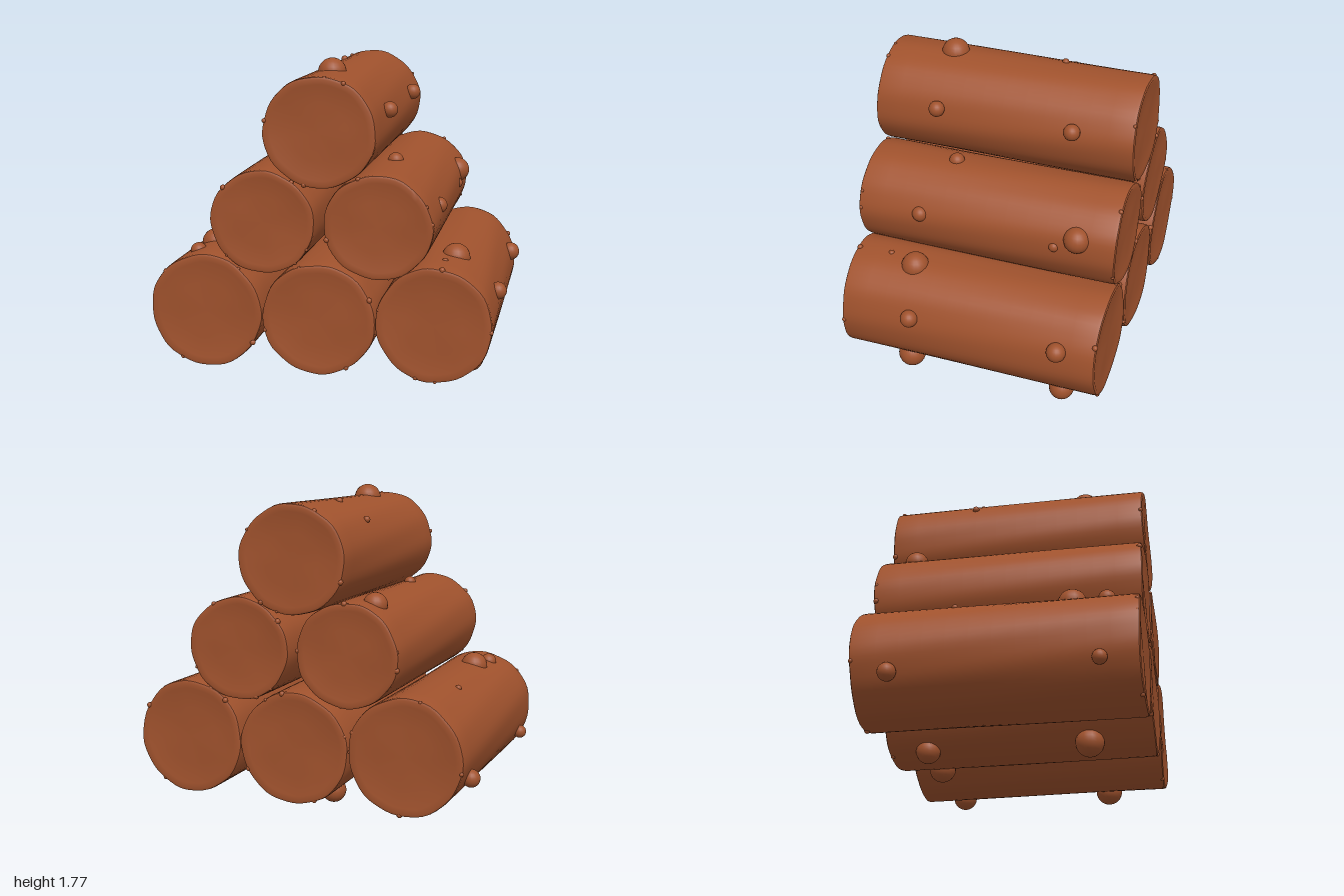
import * as THREE from 'three';
import { toCreasedNormals } from 'three/addons/utils/BufferGeometryUtils.js';

const bark = new THREE.MeshStandardMaterial({ color: 0xa0522d });
bark.name = 'brownBark';

// Each log: centre x, y, radii, and its knots as [x, y, z, radius]
const logs = [
  { name: 'bottomRightLog', x: -0.645, y: 0.38, rx: 0.323, ry: 0.325, knots: [
    [-0.70, 0.68, 0.385, 0.08], [-0.74, 0.675, 0.575, 0.048], [-0.955, 0.25, -0.55, 0.05],
    [-0.955, 0.25, 0.55, 0.04], [-0.785, 0.67, -0.24, 0.018]] },
  { name: 'bottomMiddleLog', x: 0, y: 0.368, rx: 0.32, ry: 0.315, knots: [
    [-0.155, 0.085, 0.395, 0.082], [-0.15, 0.09, -0.53, 0.07], [0.19, 0.095, -0.53, 0.078]] },
  { name: 'bottomLeftLog', x: 0.638, y: 0.378, rx: 0.318, ry: 0.325, knots: [
    [0.71, 0.67, 0.385, 0.08], [0.945, 0.475, 0.335, 0.05], [0.945, 0.475, -0.535, 0.055],
    [0.80, 0.09, 0.395, 0.08], [0.80, 0.095, -0.53, 0.072], [0.67, 0.69, 0.55, 0.018]] },
  { name: 'upperRightLog', x: -0.313, y: 0.905, rx: 0.294, ry: 0.287, knots: [
    [-0.41, 1.165, -0.57, 0.068], [-0.32, 1.19, 0.27, 0.035]] },
  { name: 'upperLeftLog', x: 0.33, y: 0.905, rx: 0.3, ry: 0.287, knots: [
    [0.34, 1.185, 0.26, 0.045], [0.595, 0.99, -0.535, 0.075], [0.61, 0.965, 0.385, 0.045],
    [0.615, 0.93, -0.41, 0.03]] },
  { name: 'topLog', x: 0.008, y: 1.408, rx: 0.312, ry: 0.302, knots: [
    [0, 1.692, 0.385, 0.08], [0.325, 1.492, 0.38, 0.045], [0.325, 1.492, -0.41, 0.047],
    [-0.24, 1.60, -0.26, 0.02], [-0.07, 1.70, -0.25, 0.02]] },
];

// Unit-radius log along z with softened rims, slightly dished ends and an uneven surface
function logGeometry(rx, ry, seed) {
  const profile = [[0, -0.748], [0.5, -0.748], [0.86, -0.752], [0.95, -0.758], [0.99, -0.752], [1, -0.735]];
  for (let i = 1; i < 12; i++) profile.push([1, -0.735 + (i / 12) * 1.47]);
  for (const [r, z] of profile.slice(0, 6).reverse()) profile.push([r, -z]);
  const geo = new THREE.LatheGeometry(profile.map(([r, z]) => new THREE.Vector2(r, z)), 56);
  geo.rotateX(Math.PI / 2);
  const p = geo.attributes.position;
  for (let i = 0; i < p.count; i++) {
    const x = p.getX(i), y = p.getY(i), z = p.getZ(i);
    const a = Math.atan2(y, x);
    const k = 1 + 0.008 * Math.sin(5 * a + seed + 1.5 * z) + 0.005 * Math.sin(11 * a - seed * 2 + 3 * z);
    p.setXYZ(i, x * rx * k, y * ry * k, z + 0.004 * Math.sin(3 * a + seed) * Math.hypot(x, y) * Math.sign(z) * (Math.abs(z) > 0.7));
  }
  return toCreasedNormals(geo, 0.9);
}

const knotGeometry = new THREE.SphereGeometry(1, 20, 14);

function addKnot(parent, name, x, y, z, r) {
  const knot = new THREE.Mesh(knotGeometry, bark);
  knot.name = name;
  knot.position.set(x, y, z);
  knot.scale.setScalar(r);
  parent.add(knot);
}

export function createModel() {
  const pile = new THREE.Group();
  pile.name = 'logPile';
  logs.forEach(({ name, x, y, rx, ry, knots }, n) => {
    const group = new THREE.Group();
    group.name = name;
    const trunk = new THREE.Mesh(logGeometry(rx, ry, n * 1.7), bark);
    trunk.name = 'trunk';
    trunk.position.set(x, y, 0);
    group.add(trunk);
    for (const k of knots) addKnot(group, 'knot', ...k);
    // Small splinters around both rims
    for (let i = 0; i < 10; i++) {
      const a = i * 2.4 + n, end = i % 2 ? 1 : -1;
      addKnot(group, 'rimSplinter', x + Math.cos(a) * rx * 0.98, y + Math.sin(a) * ry * 0.98,
        end * 0.745, 0.01 + 0.003 * (i % 3));
    }
    pile.add(group);
  });
  return pile;
}
